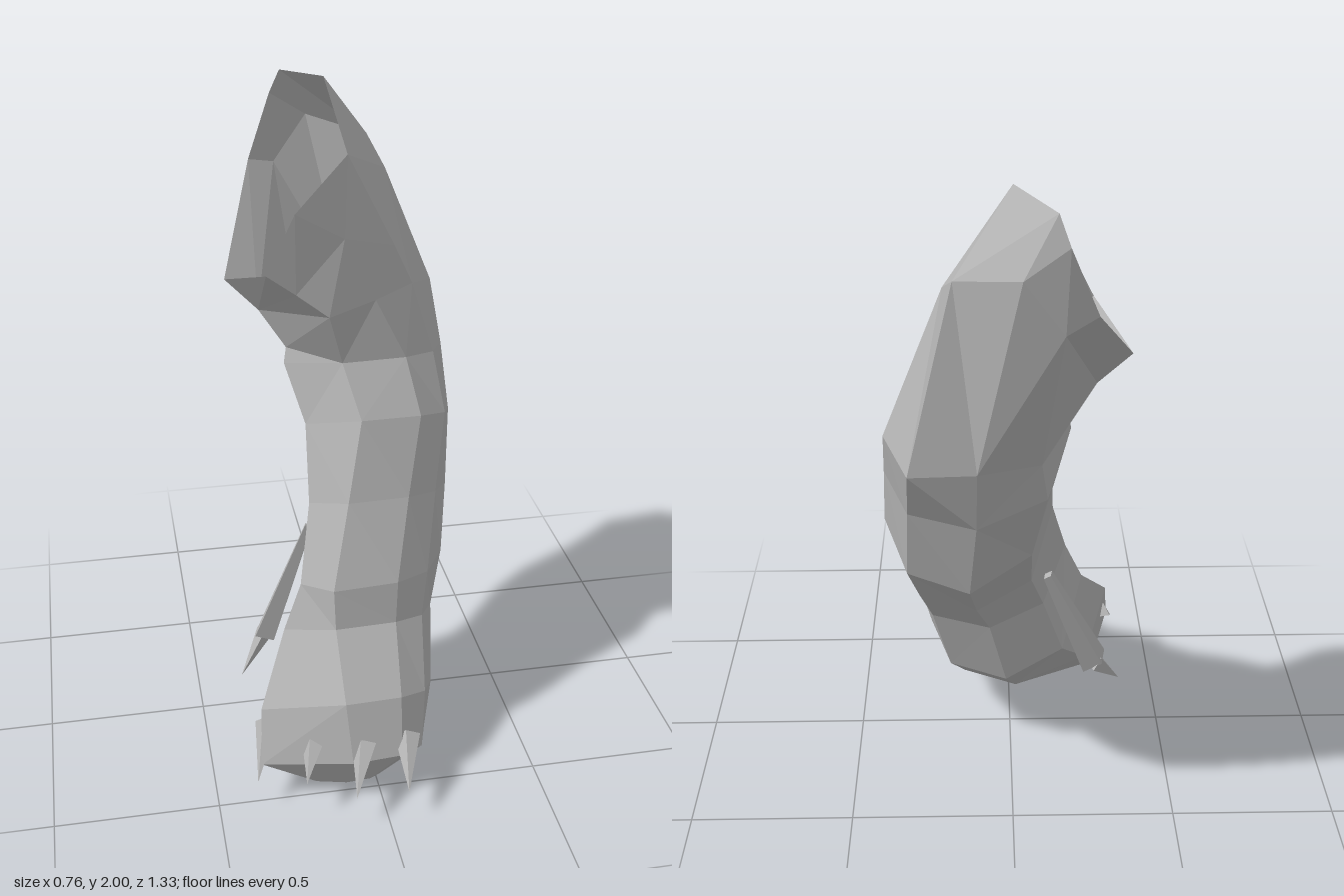
import * as THREE from 'three';

const V = (x, y, z) => new THREE.Vector3(x, y, z);

// Cross-section from its front point, back point and side extents:
// squarish towards the front, slimmer towards the back
const ANGLES = [0, 30, 60, 95, 140, 185, 235, 300];
function section(front, back, xMin, xMax) {
  const f = V(...front), b = V(...back);
  const mid = f.clone().add(b).multiplyScalar(0.5);
  const half = f.clone().sub(b).multiplyScalar(0.5);
  return ANGLES.map((deg) => {
    const t = THREE.MathUtils.degToRad(deg);
    const power = Math.cos(t) > 0 ? 0.65 : 1.1;
    const c = Math.sign(Math.cos(t)) * Math.abs(Math.cos(t)) ** power;
    const s = Math.sign(Math.sin(t)) * Math.abs(Math.sin(t)) ** power;
    const p = mid.clone().addScaledVector(half, c);
    p.x += s > 0 ? s * (xMax - mid.x) : s * (mid.x - xMin);
    p.x = THREE.MathUtils.clamp(p.x, xMin, xMax);
    return p;
  });
}

// Faceted skin through a list of rings, optionally closed at the last one
function loft(rings, closeEnd) {
  const pos = [];
  const tri = (...pts) => pts.forEach((p) => pos.push(p.x, p.y, p.z));
  const n = rings[0].length;
  for (let i = 0; i < rings.length - 1; i++) {
    for (let j = 0; j < n; j++) {
      const k = (j + 1) % n;
      const a = rings[i][j], b = rings[i][k], c = rings[i + 1][k], d = rings[i + 1][j];
      // Split each quad along its shorter diagonal
      if (b.distanceTo(d) < a.distanceTo(c)) { tri(a, d, b); tri(b, d, c); }
      else { tri(a, d, c); tri(a, c, b); }
    }
  }
  if (closeEnd) {
    const last = rings[rings.length - 1];
    const centre = last.reduce((s, p) => s.add(p), V(0, 0, 0)).divideScalar(n);
    for (let j = 0; j < n; j++) tri(last[j], centre, last[(j + 1) % n]);
  }
  const g = new THREE.BufferGeometry();
  g.setAttribute('position', new THREE.Float32BufferAttribute(pos, 3));
  g.computeVertexNormals();
  return g;
}

export function createModel() {
  const group = new THREE.Group();
  group.name = 'clawedLimb';
  const grey = new THREE.MeshStandardMaterial({ color: 0xb2b2b2, flatShading: true, side: THREE.DoubleSide });
  grey.name = 'grey';

  const add = (name, geometry) => {
    const m = new THREE.Mesh(geometry, grey);
    m.name = name;
    group.add(m);
    return m;
  };

  // Four-sided tapering piece from a root point to a tip point
  const spike = (name, r, t, rootRadius, tipRadius) => {
    const root = V(...r), axis = V(...t).sub(root);
    const g = new THREE.CylinderGeometry(tipRadius, rootRadius, axis.length(), 4);
    g.scale(1, 1, 0.7);
    g.translate(0, axis.length() / 2, 0);
    const m = add(name, g);
    m.position.copy(root);
    m.quaternion.setFromUnitVectors(V(0, 1, 0), axis.normalize());
  };

  // Open shoulder: slanted rim, bulge and the base of the shoulder
  const rim = [
    [-0.25, 1.53, 0.01], [-0.16, 1.71, 0], [0.02, 1.84, -0.13], [0, 2, -0.43],
    [-0.11, 1.98, -0.62], [-0.14, 1.9, -0.65], [-0.22, 1.7, -0.6], [-0.35, 1.44, -0.22],
  ].map((p) => V(...p));
  const bulge = [
    [-0.16, 1.46, 0], [0, 1.6, -0.07], [0.17, 1.54, -0.15], [0.19, 1.71, -0.4],
    [0.16, 1.78, -0.55], [-0.02, 1.82, -0.67], [-0.13, 1.67, -0.66], [-0.25, 1.34, -0.2],
  ].map((p) => V(...p));
  const base = [
    [-0.06, 1.38, 0], [0.1, 1.39, -0.09], [0.23, 1.41, -0.16], [0.36, 1.3, -0.46],
    [0.29, 1.24, -0.6], [0.1, 1.25, -0.61], [-0.08, 1.22, -0.49], [-0.17, 1.22, -0.17],
  ].map((p) => V(...p));

  // Leg leaning forward from the shoulder to the ankle
  const neck = section([-0.01, 1.2, -0.06], [0.12, 1.06, -0.57], -0.18, 0.37);
  const ankle = section([-0.1, 0.47, 0.31], [0.03, 0.27, -0.15], -0.25, 0.26);
  const leg = [
    neck,
    section([0.03, 1.05, 0.05], [0.14, 0.81, -0.5], -0.13, 0.38),
    section([-0.03, 0.82, 0.15], [0.12, 0.64, -0.32], -0.14, 0.34),
    section([-0.1, 0.59, 0.28], [0.08, 0.5, -0.2], -0.19, 0.3),
    ankle,
  ];

  // Broad paw with a rounded sole
  const paw = [
    ankle,
    section([-0.1, 0.31, 0.48], [0, 0.1, 0.06], -0.35, 0.22),
    section([-0.09, 0.14, 0.55], [-0.03, 0.04, 0.16], -0.37, 0.18),
    section([-0.1, 0.02, 0.49], [-0.1, 0, 0.34], -0.2, 0.02),
  ];

  add('shoulder', loft([rim, bulge, base, neck], false));
  add('leg', loft(leg, false));
  add('paw', loft(paw, true));

  // Small rear toe hanging off the side of the ankle
  spike('rearToe', [-0.12, 0.62, -0.08], [-0.28, 0.25, -0.02], 0.02, 0.055);

  // Pointed claws: root and tip of each, four on the toes and one on the rear toe
  const claws = [
    [[-0.33, 0.2, 0.37], [-0.38, 0.09, 0.52]],
    [[-0.2, 0.19, 0.47], [-0.24, 0.12, 0.59]],
    [[-0.05, 0.18, 0.51], [-0.1, 0.1, 0.66]],
    [[0.09, 0.18, 0.49], [0.06, 0.1, 0.66]],
    [[-0.28, 0.26, -0.03], [-0.37, 0.14, 0.04]],
  ];
  claws.forEach(([root, tip], i) => spike(i < 4 ? 'toeClaw' : 'rearClaw', root, tip, 0.04, 0));

  return group;
}
